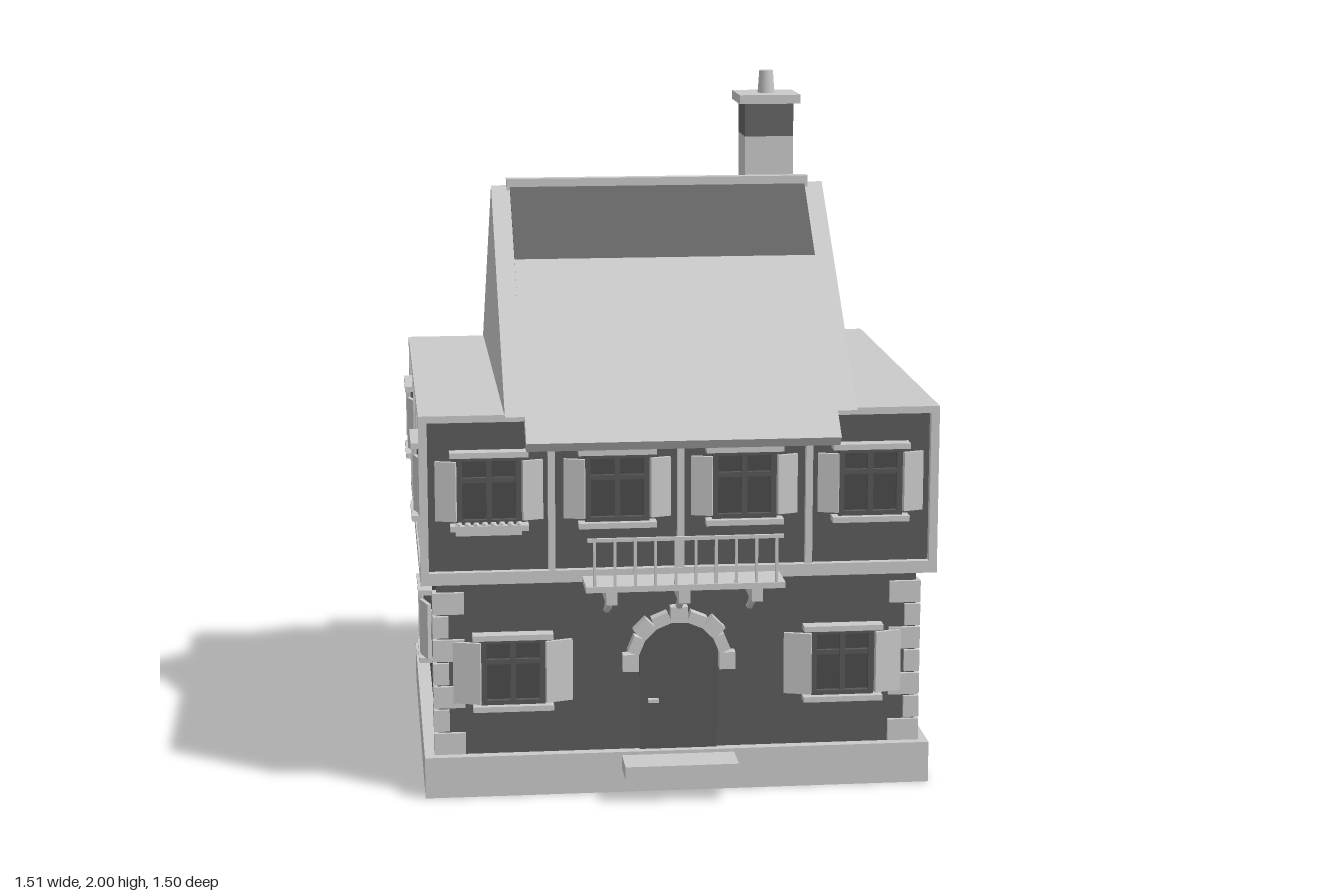
import * as THREE from 'three';

const mat = (name, hex) => {
  const m = new THREE.MeshStandardMaterial({ color: hex });
  m.name = name;
  return m;
};

export function createModel() {
  const trim = mat('pale trim', 0xcacaca);
  const wall = mat('dark wall', 0x5c5c5c);
  const tile = mat('dark roof band', 0x646464);
  const glass = mat('window glass', 0x4a4a4a);
  const sash = mat('window sash', 0x585858);
  const house = new THREE.Group();
  house.name = 'house';

  const add = (parent, name, geo, m, x = 0, y = 0, z = 0) => {
    const mesh = new THREE.Mesh(geo, m);
    mesh.name = name;
    mesh.position.set(x, y, z);
    parent.add(mesh);
    return mesh;
  };
  // Box given by its minimum and maximum on each axis
  const box = (parent, name, m, x0, x1, y0, y1, z0, z1) =>
    add(parent, name, new THREE.BoxGeometry(x1 - x0, y1 - y0, z1 - z0), m,
      (x0 + x1) / 2, (y0 + y1) / 2, (z0 + z1) / 2);
  // Slanted bar in the local xy plane, facing +z
  const bar = (parent, name, x0, y0, x1, y1, z) => {
    const len = Math.hypot(x1 - x0, y1 - y0);
    const b = add(parent, name, new THREE.BoxGeometry(0.02, len, 0.02), trim, (x0 + x1) / 2, (y0 + y1) / 2, z);
    b.rotation.z = -Math.atan2(x1 - x0, y1 - y0);
    return b;
  };
  // Profile of [z, y] points extruded along x
  const prism = (name, m, pts, halfX) => {
    const s = new THREE.Shape(pts.map(([z, y]) => new THREE.Vector2(-z, y)));
    const g = new THREE.ExtrudeGeometry(s, { depth: halfX * 2, bevelEnabled: false });
    g.translate(0, 0, -halfX).rotateY(Math.PI / 2);
    return add(house, name, g, m);
  };
  const face = (name, x, z, angle) => {
    const g = new THREE.Group();
    g.name = name;
    g.position.set(x, 0, z);
    g.rotation.y = angle;
    house.add(g);
    return g;
  };

  // Plinth, step and storeys
  box(house, 'plinth', trim, -0.73, 0.73, 0, 0.12, -0.62, 0.58);
  box(house, 'doorStep', trim, -0.165, 0.16, 0.07, 0.11, 0.57, 0.69);
  box(house, 'groundFloor', wall, -0.69, 0.69, 0.12, 0.645, -0.585, 0.55);
  box(house, 'floorBeam', trim, -0.735, 0.735, 0.64, 0.675, -0.665, 0.625);
  box(house, 'upperFloor', wall, -0.712, 0.712, 0.675, 1.11, -0.642, 0.602);
  box(house, 'topPlate', trim, -0.735, 0.735, 1.105, 1.125, -0.665, 0.625);

  // Corner stones, long side alternating
  for (let i = 0; i < 7; i++) {
    const y = 0.12 + i * 0.069;
    const lx = i % 2 ? 0.045 : 0.09, lz = i % 2 ? 0.09 : 0.045;
    for (const sx of [-1, 1]) {
      const xs = [sx * 0.702, sx * (0.702 - lx)].sort((a, b) => a - b);
      box(house, 'cornerStone', trim, ...xs, y + 0.003, y + 0.066, 0.562 - lz, 0.562);
      box(house, 'cornerStone', trim, ...xs, y + 0.003, y + 0.066, -0.597, -0.597 + lz);
    }
  }

  // Corner posts of the upper floor
  for (const x of [-0.723, 0.723])
    for (const z of [-0.653, 0.613])
      box(house, 'cornerPost', trim, x - 0.012, x + 0.012, 0.67, 1.11, z - 0.012, z + 0.012);

  // Wall faces in local coordinates, each facing +z
  const front = face('upperFront', 0, 0.602, 0);
  const groundFront = face('groundFront', 0, 0.55, 0);
  const back = face('upperBack', 0, -0.642, Math.PI);

  // Window with sash bars, lintel, sill and two angled shutters
  const addWindow = (parent, x, y, shutterW, shutterH, ledgeW) => {
    const w = new THREE.Group();
    w.name = 'window';
    w.position.set(x, y, 0);
    parent.add(w);
    box(w, 'glass', glass, -0.09, 0.09, -0.1, 0.1, -0.01, 0.006);
    for (const s of [-1, 1]) {
      box(w, 'sashSide', sash, s * 0.083 - 0.008, s * 0.083 + 0.008, -0.1, 0.1, 0, 0.022);
      box(w, 'sashRail', sash, -0.09, 0.09, s * 0.092 - 0.008, s * 0.092 + 0.008, 0, 0.022);
      box(w, 'ledge', trim, -ledgeW / 2, ledgeW / 2, s * 0.105 - 0.008, s * 0.105 + 0.008, 0, 0.042);
      const sh = add(w, 'shutter', new THREE.BoxGeometry(shutterW, shutterH, 0.012), trim,
        s * (0.091 + shutterW / 2), 0, 0.022);
      sh.rotation.y = s * 0.3;
    }
    box(w, 'mullion', sash, -0.008, 0.008, -0.1, 0.1, 0, 0.02);
    box(w, 'transom', sash, -0.09, 0.09, 0.022, 0.036, 0, 0.018);
  };

  for (const x of [-0.54, -0.18, 0.18, 0.54]) addWindow(front, x, 0.91, 0.06, 0.17, 0.22);
  for (const x of [-0.475, 0.475]) addWindow(groundFront, x, 0.367, 0.08, 0.18, 0.23);

  // Flower box below the outer left-hand window
  box(front, 'flowerBox', trim, -0.635, -0.45, 0.785, 0.807, 0, 0.04);
  for (let i = 0; i < 8; i++)
    add(front, 'flower', new THREE.IcosahedronGeometry(0.012, 0), trim, -0.625 + i * 0.024, 0.812, 0.03);

  // Posts on the front and back, V braces on the back
  for (const x of [-0.365, 0, 0.365])
    for (const f of [front, back]) box(f, 'post', trim, x - 0.01, x + 0.01, 0.67, 1.11, 0, 0.02);
  for (const x of [-0.54, -0.182, 0.182, 0.54])
    for (const s of [-1, 1]) bar(back, 'brace', x + s * 0.025, 0.75, x + s * 0.125, 1.04, 0.006);

  // Both sides, mirrored
  for (const s of [-1, 1]) {
    const up = face('upperSide', s * 0.712, 0, s * Math.PI / 2);
    const low = face('groundSide', s * 0.69, 0, s * Math.PI / 2);
    addWindow(up, -s * 0.4, 0.91, 0.06, 0.16, 0.2);
    addWindow(up, s * 0.44, 0.91, 0.06, 0.16, 0.2);
    addWindow(low, s * 0.02, 0.37, 0.075, 0.17, 0.21);
    for (const z of [0.19, -0.23]) box(up, 'post', trim, -s * z - 0.01, -s * z + 0.01, 0.67, 1.11, 0, 0.02);
    bar(up, 'brace', -s * 0.115, 0.76, -s * 0.005, 1.03, 0.006);
    bar(up, 'brace', s * 0.16, 0.76, s * 0.04, 1.03, 0.006);
  }

  // Arched door with handle and stone surround
  const door = new THREE.Shape();
  door.moveTo(-0.112, 0.12).lineTo(0.112, 0.12).lineTo(0.112, 0.39);
  door.absarc(0, 0.39, 0.112, 0, Math.PI, false);
  add(groundFront, 'door', new THREE.ExtrudeGeometry(door, { depth: 0.008, bevelEnabled: false, curveSegments: 10 }), sash);
  box(groundFront, 'doorHandle', trim, -0.088, -0.058, 0.262, 0.272, 0.008, 0.025);
  for (let i = 0; i < 9; i++) {
    const a = Math.PI * i / 8;
    const r = i % 2 ? 0.133 : 0.139;
    const st = add(groundFront, 'archStone', new THREE.BoxGeometry(i % 2 ? 0.034 : 0.046, 0.05, 0.04), trim,
      r * Math.cos(a), 0.385 + r * Math.sin(a), 0.016);
    st.rotation.z = a;
  }

  // Balcony floor, brackets and railing
  box(house, 'balconyFloor', trim, -0.28, 0.28, 0.64, 0.657, 0.6, 0.75);
  for (const x of [-0.205, 0, 0.205]) {
    box(house, 'bracketArm', trim, x - 0.016, x + 0.016, 0.595, 0.64, 0.55, 0.72);
    const curve = new THREE.QuadraticBezierCurve3(new THREE.Vector3(x, 0.54, 0.558),
      new THREE.Vector3(x, 0.56, 0.61), new THREE.Vector3(x, 0.61, 0.64));
    add(house, 'bracketBrace', new THREE.TubeGeometry(curve, 6, 0.011, 6), trim);
  }
  for (let i = 0; i < 10; i++) {
    const x = -0.255 + i * 0.0567;
    box(house, 'baluster', trim, x - 0.004, x + 0.004, 0.657, 0.79, 0.739, 0.747);
  }
  box(house, 'handrail', trim, -0.275, 0.275, 0.784, 0.794, 0.738, 0.748);

  // Roof: gabled body, overhanging slopes and dark bands by the ridge
  const ridgeZ = -0.02;
  prism('gable', trim, [[0.65, 1.123], [ridgeZ, 1.688], [-0.69, 1.123]], 0.495);
  const slopeY = d => 1.70 - 0.871 * d;
  for (const s of [-1, 1]) {
    const slab = (name, m, d0, d1, lift, depth, halfX) => prism(name, m, [
      [ridgeZ + s * d0, slopeY(d0) + lift], [ridgeZ + s * d1, slopeY(d1) + lift],
      [ridgeZ + s * (d1 - depth * 0.66), slopeY(d1) - depth * 0.75],
      [ridgeZ + s * d0, slopeY(d0) - depth * 1.3]], halfX);
    slab('roofSlope', trim, 0.23, 0.735, 0, 0.036, 0.44);
    slab('ridgeBand', tile, 0, 0.23, 0, 0.03, 0.44);
  }
  box(house, 'ridgeBeam', trim, -0.45, 0.45, 1.675, 1.708, ridgeZ - 0.018, ridgeZ + 0.018);

  // Chimney
  const cx = 0.362, cz = -0.28;
  const tier = (name, m, h, y0, y1) => box(house, name, m, cx - h, cx + h, y0, y1, cz - h, cz + h);
  tier('chimneyShaft', trim, 0.074, 1.3, 1.805);
  tier('chimneyBand', tile, 0.074, 1.805, 1.908);
  tier('chimneyCollar', trim, 0.086, 1.565, 1.595);
  tier('chimneyCap', trim, 0.093, 1.905, 1.932);
  add(house, 'chimneyPot', new THREE.CylinderGeometry(0.021, 0.026, 0.068, 16), trim, cx, 1.966, cz);

  return house;
}
